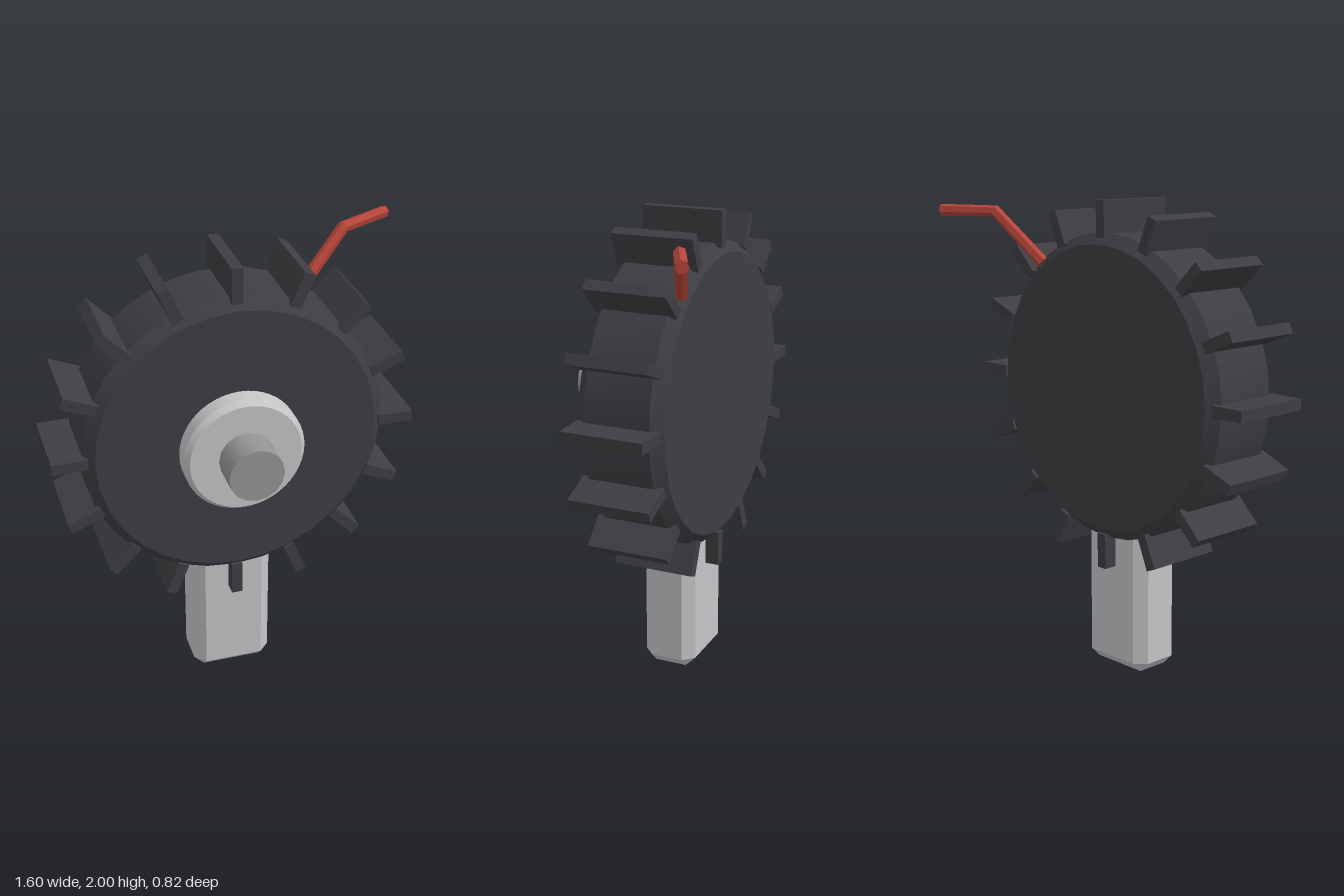
import * as THREE from 'three';
import { toCreasedNormals } from 'three/addons/utils/BufferGeometryUtils.js';
import { ConvexGeometry } from 'three/addons/geometries/ConvexGeometry.js';

const CX = -0.03, CY = 1.23; // wheel axis

const paint = (name, color) => {
  const m = new THREE.MeshStandardMaterial({ color });
  m.name = name;
  return m;
};

// Turned part along the z axis; profile is [radius, z] from back to front
function turned(profile, sides) {
  const g = new THREE.LatheGeometry(profile.map(([r, z]) => new THREE.Vector2(r, z)), sides);
  g.rotateX(Math.PI / 2);
  return toCreasedNormals(g, 0.5);
}

// Box with all edges chamfered by c
function chamferedBox(w, h, d, c) {
  const pts = [];
  for (const x of [-1, 1]) for (const y of [-1, 1]) for (const z of [-1, 1]) {
    const X = w / 2, Y = h / 2, Z = d / 2;
    pts.push(new THREE.Vector3(x * X, y * (Y - c), z * (Z - c)));
    pts.push(new THREE.Vector3(x * (X - c), y * Y, z * (Z - c)));
    pts.push(new THREE.Vector3(x * (X - c), y * (Y - c), z * Z));
  }
  return new ConvexGeometry(pts);
}

export function createModel() {
  const model = new THREE.Group();
  const dark = paint('dark grey', 0x3e3d42);
  const light = paint('light grey', 0xc4c5c7);
  const steel = paint('steel grey', 0x949494);
  const red = paint('wire red', 0xb5443a);

  const add = (name, geometry, material, parent = model) => {
    const mesh = new THREE.Mesh(geometry, material);
    mesh.name = name;
    parent.add(mesh);
    return mesh;
  };

  // Motor: drum, collar and shaft on one axis
  const motor = new THREE.Group();
  motor.name = 'motor';
  motor.position.set(CX, CY, 0);
  model.add(motor);
  add('drum', turned([[0, -0.22], [0.595, -0.22], [0.64, -0.175], [0.64, 0.105], [0.595, 0.15], [0, 0.15]], 32), dark, motor);
  add('collar', turned([[0, 0.14], [0.235, 0.15], [0.255, 0.172], [0.255, 0.24], [0.235, 0.265], [0, 0.265]], 48), light, motor);
  add('shaft', turned([[0, 0.25], [0.115, 0.25], [0.115, 0.41], [0, 0.41]], 16), steel, motor);

  // Cooling fins around the drum
  const finGeometry = new THREE.BoxGeometry(0.15, 0.047, 0.35).translate(0.695, 0, -0.035);
  for (let i = 0; i < 16; i++) {
    add('coolingFin', finGeometry, dark, motor).rotation.z = i * Math.PI / 8;
  }

  // Mounting post
  add('mountingPost', chamferedBox(0.35, 0.8, 0.235, 0.046), light).position.set(CX, 0.4, -0.033);

  // Bent wire leaving the back rim
  const path = [[0.345, 1.725, -0.192], [0.555, 1.935, -0.278], [0.785, 1.935, -0.39]].map(p => new THREE.Vector3(...p));
  const curve = new THREE.Curve();
  curve.getPoint = (t, out = new THREE.Vector3()) => t < 0.5
    ? out.lerpVectors(path[0], path[1], t * 2)
    : out.lerpVectors(path[1], path[2], t * 2 - 1);
  curve.getUtoTmapping = u => u;
  const wire = new THREE.Group();
  wire.name = 'wire';
  model.add(wire);
  add('wireSleeve', toCreasedNormals(new THREE.TubeGeometry(curve, 2, 0.026, 6), 0.5), red, wire);
  [[0, 1], [2, 1]].forEach(([end, inner]) => {
    const cap = add('wireEnd', new THREE.CircleGeometry(0.026, 6), red, wire);
    cap.position.copy(path[end]);
    cap.lookAt(path[end].clone().multiplyScalar(2).sub(path[inner]));
  });

  return model;
}
